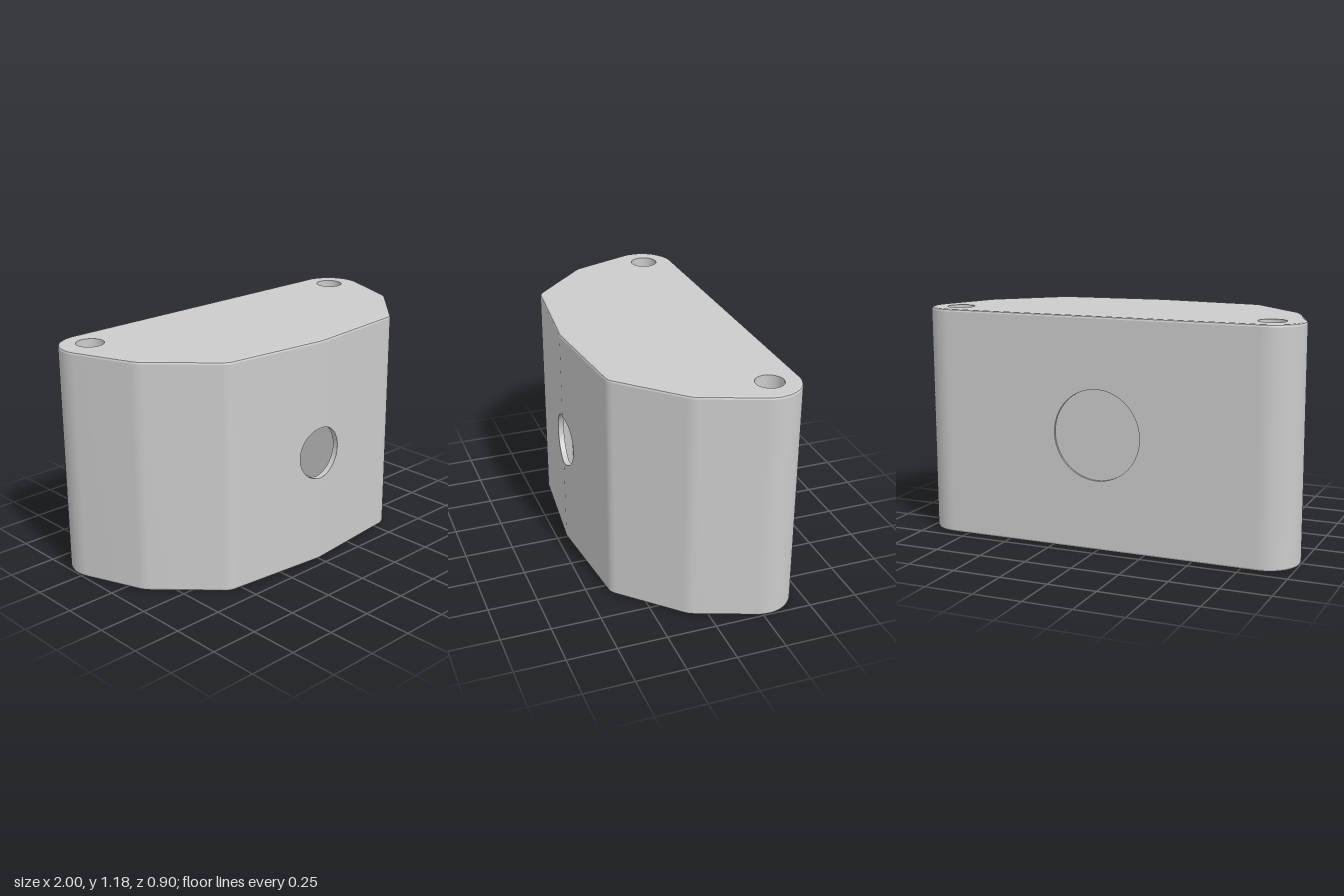
import * as THREE from 'three';
import { toCreasedNormals } from 'three/addons/utils/BufferGeometryUtils.js';

const H = 1.18, BEVEL = 0.012;          // height, edge rounding
const FRONT = 0.45, BACK = -0.45;       // ridge and back plane
const FLAT = 0.54, SLOPE = 0.1;         // half width and slope of the front facets
const BACK_X = 0.83, HOLE_X = 0.84, HOLE_Z = -0.295, HOLE_R = 0.07;
const MID = 0.59, PORT_R = 0.135, RECESS_R = 0.23, RECESS_DEPTH = 0.01;
const frontZ = (x) => FRONT - SLOPE * Math.abs(x);

const grey = (side = THREE.FrontSide) => new THREE.MeshStandardMaterial({ color: 0xcccccc, side });

function part(name, geometry, side) {
  const mesh = new THREE.Mesh(geometry, grey(side));
  mesh.name = name;
  return mesh;
}

// Plan outline, drawn with shape y = -z
function planShape() {
  const s = new THREE.Shape();
  const a = -0.367, r = 0.17, cz = 0.28;
  s.moveTo(0, -FRONT);
  s.lineTo(FLAT, -frontZ(FLAT));
  s.quadraticCurveTo(0.57, -0.393, 0.592, -0.37);
  s.lineTo(0.85, -0.112);
  s.quadraticCurveTo(0.87, -0.092, 0.88, -0.066);
  s.absarc(BACK_X, cz, r, a, Math.PI / 2, false);
  s.absarc(-BACK_X, cz, r, Math.PI / 2, Math.PI - a, false);
  s.lineTo(-0.88, -0.066);
  s.quadraticCurveTo(-0.87, -0.092, -0.85, -0.112);
  s.lineTo(-0.592, -0.37);
  s.quadraticCurveTo(-0.57, -0.393, -FLAT, -frontZ(FLAT));
  s.closePath();
  for (const side of [-1, 1]) {
    s.holes.push(new THREE.Path().absarc(side * HOLE_X, -HOLE_Z, HOLE_R, 0, Math.PI * 2, true));
  }
  return s;
}

// Housing with rounded rims and straight screw holes; front and back walls left open
function housing() {
  const g = new THREE.ExtrudeGeometry(planShape(), {
    depth: H - 2 * BEVEL, curveSegments: 12,
    bevelEnabled: true, bevelThickness: BEVEL, bevelSize: BEVEL, bevelOffset: -BEVEL, bevelSegments: 2,
  });
  g.rotateX(-Math.PI / 2).translate(0, BEVEL, 0);
  const p = g.attributes.position, keep = [];
  const v = [new THREE.Vector3(), new THREE.Vector3(), new THREE.Vector3()];
  const n = new THREE.Vector3();
  for (let i = 0; i < p.count; i += 3) {
    v.forEach((q, k) => q.fromBufferAttribute(p, i + k));
    THREE.Triangle.getNormal(...v, n);
    const upright = Math.abs(n.y) < 0.01;
    const isFront = v.every((q) => q.z > 0.3 && Math.abs(q.x) < FLAT + 1e-4);
    const isBack = v.every((q) => q.z < BACK + 1e-4);
    if (upright && (isFront || isBack)) continue;
    for (const q of v) {
      const cx = Math.sign(q.x) * HOLE_X, d = Math.hypot(q.x - cx, q.z - HOLE_Z);
      if (d < 0.1) {                     // keep the screw holes straight
        q.x = cx + (q.x - cx) * HOLE_R / d;
        q.z = HOLE_Z + (q.z - HOLE_Z) * HOLE_R / d;
      }
      keep.push(q.x, q.y, q.z);
    }
  }
  const out = new THREE.BufferGeometry();
  out.setAttribute('position', new THREE.Float32BufferAttribute(keep, 3));
  return toCreasedNormals(out, 0.3);
}

// One sloping half of the front wall, notched by half of the round port
function frontFacet(side) {
  const s = new THREE.Shape();
  s.moveTo(0, BEVEL);
  s.lineTo(side * FLAT, BEVEL);
  s.lineTo(side * FLAT, H - BEVEL);
  s.lineTo(0, H - BEVEL);
  s.lineTo(0, MID + PORT_R);
  s.absarc(0, MID, PORT_R, Math.PI / 2, -Math.PI / 2, side > 0);
  s.closePath();
  const g = new THREE.ShapeGeometry(s, 24);
  const p = g.attributes.position;
  for (let i = 0; i < p.count; i++) p.setZ(i, frontZ(p.getX(i)));
  g.computeVertexNormals();
  return g;
}

// Short wall of the port, following the ridge at its outer edge
function portRim() {
  const g = new THREE.CylinderGeometry(PORT_R, PORT_R, 0.03, 48, 1, true);
  g.rotateX(Math.PI / 2).translate(0, MID, 0);
  const p = g.attributes.position;
  for (let i = 0; i < p.count; i++) p.setZ(i, frontZ(p.getX(i)) - (p.getZ(i) > 0 ? 0 : 0.03));
  return g;
}

function backWall() {
  const s = new THREE.Shape();
  s.moveTo(-BACK_X, BEVEL);
  s.lineTo(BACK_X, BEVEL);
  s.lineTo(BACK_X, H - BEVEL);
  s.lineTo(-BACK_X, H - BEVEL);
  s.closePath();
  s.holes.push(new THREE.Path().absarc(0, MID, RECESS_R, 0, Math.PI * 2, true));
  return new THREE.ShapeGeometry(s, 32).rotateY(Math.PI).translate(0, 0, BACK);
}

// Hollow inside, seen through the port
function cavity() {
  const half = [[0.7, 0.41], [0.7, -0.2], [0.55, -0.36], [0, -0.42]];
  const pts = [...half, ...half.slice(0, 3).reverse().map(([x, y]) => [-x, y])];
  const s = new THREE.Shape(pts.map(([x, y]) => new THREE.Vector2(x, y)));
  const g = new THREE.ExtrudeGeometry(s, { depth: H - 0.05, bevelEnabled: false });
  return g.rotateX(-Math.PI / 2).translate(0, 0.025, 0);
}

export function createModel() {
  const model = new THREE.Group();
  model.name = 'housing';
  model.add(part('housingShell', housing()));
  model.add(part('frontFacetLeft', frontFacet(1)), part('frontFacetRight', frontFacet(-1)));
  model.add(part('portRim', portRim(), THREE.DoubleSide));
  model.add(part('backWall', backWall()));

  // Shallow round recess in the back
  const rim = new THREE.CylinderGeometry(RECESS_R, RECESS_R, RECESS_DEPTH, 64, 1, true);
  rim.rotateX(Math.PI / 2).translate(0, MID, BACK + RECESS_DEPTH / 2);
  const floor = new THREE.CircleGeometry(RECESS_R, 64);
  floor.rotateY(Math.PI).translate(0, MID, BACK + RECESS_DEPTH);
  model.add(part('recessRim', rim, THREE.DoubleSide), part('recessFloor', floor));

  model.add(part('cavity', cavity(), THREE.BackSide));
  return model;
}
